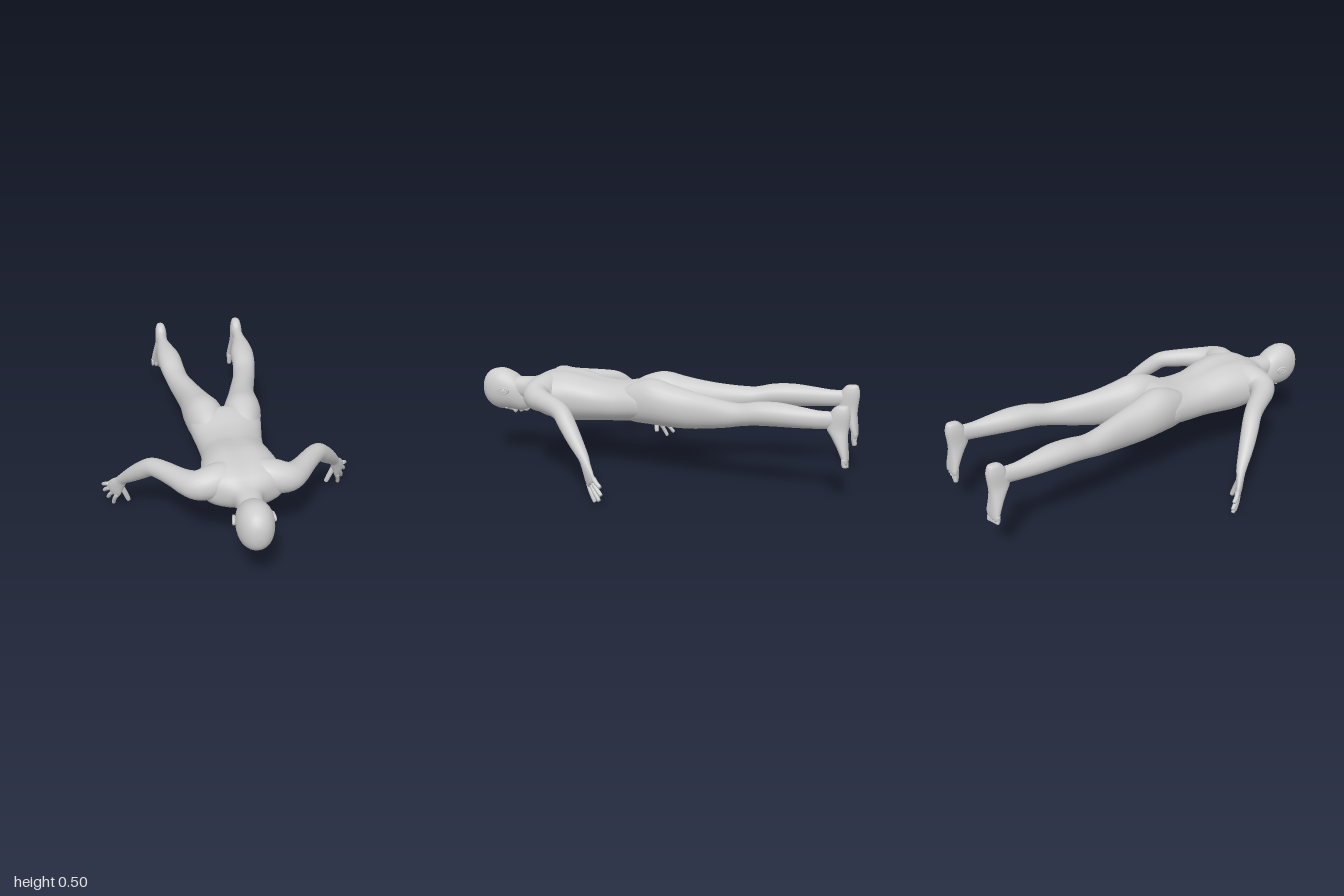
import * as THREE from 'three';

const skin = new THREE.MeshStandardMaterial({ color: 0xcccccc });
skin.name = 'light grey skin';
const X = new THREE.Vector3(1, 0, 0), Y = new THREE.Vector3(0, 1, 0), Z = new THREE.Vector3(0, 0, 1);

// Smooth closed skin through stations [x, y, z, radiusA, radiusB].
// A is the ring's width axis; B its height axis, or across the path when omitted.
function loft(stations, A, B, { sides = 24, steps = 3, power = 2, side = 1, shape } = {}) {
  const path = new THREE.CatmullRomCurve3(stations.map(s => new THREE.Vector3(s[0], s[1], s[2])), false, 'catmullrom');
  const size = new THREE.CatmullRomCurve3(stations.map(s => new THREE.Vector3(s[3], s[4] ?? s[3], 0)), false, 'catmullrom');
  const rows = (stations.length - 1) * steps, pos = [], index = [];
  const put = p => pos.push(p.x * side, p.y, p.z);
  for (let i = 0; i <= rows; i++) {
    const c = path.getPoint(i / rows), r = size.getPoint(i / rows);
    let a = A.clone(), b = B;
    if (!b) {
      const t = path.getTangent(i / rows);
      a.addScaledVector(t, -a.dot(t)).normalize();
      b = t.clone().cross(a);
    }
    for (let j = 0; j < sides; j++) {
      const q = j / sides * Math.PI * 2, u = Math.cos(q), v = Math.sin(q);
      const p = c.clone()
        .addScaledVector(a, Math.sign(u) * Math.abs(u) ** (2 / power) * r.x)
        .addScaledVector(b, Math.sign(v) * Math.abs(v) ** (2 / power) * r.y);
      if (shape) shape(p, v);
      put(p);
    }
  }
  for (let i = 0; i < rows; i++) for (let j = 0; j < sides; j++) {
    const k = (j + 1) % sides, m = i * sides, n = m + sides;
    index.push(m + j, m + k, n + j, m + k, n + k, n + j);
  }
  // End caps
  const first = pos.length / 3;
  put(path.getPoint(0));
  put(path.getPoint(1));
  for (let j = 0; j < sides; j++) {
    const k = (j + 1) % sides, n = rows * sides;
    index.push(first, k, j, first + 1, n + j, n + k);
  }
  // Turn the faces outward if the enclosed volume is negative
  const at = i => new THREE.Vector3().fromArray(pos, i * 3);
  let volume = 0;
  for (let i = 0; i < index.length; i += 3) volume += at(index[i]).dot(at(index[i + 1]).cross(at(index[i + 2])));
  if (volume < 0) index.reverse();
  const g = new THREE.BufferGeometry();
  g.setAttribute('position', new THREE.Float32BufferAttribute(pos, 3));
  g.setIndex(index);
  g.computeVertexNormals();
  return g;
}

function add(group, name, geometry) {
  const m = new THREE.Mesh(geometry, skin);
  m.name = name;
  group.add(m);
  return m;
}

function ball(group, name, x, y, z, sx, sy, sz) {
  const m = add(group, name, new THREE.SphereGeometry(1, 16, 12));
  m.position.set(x, y, z);
  m.scale.set(sx, sy, sz);
  return m;
}

// Finger or toe: thin tube with a rounded tip
function digit(points, r, side) {
  const last = points.at(-1), prev = points.at(-2);
  const end = last.map((v, i) => v + (v - prev[i]) * 0.08);
  const s = [...points.map((p, i) => [...p, r * (1 - 0.12 * i)]), [...end, r * 0.3]];
  return loft(s, X, null, { sides: 10, side });
}

// [z, half width, bottom, top] to a station on the centre line
const centred = ([z, w, lo, hi]) => [0, (lo + hi) / 2, z, w, (hi - lo) / 2];

function addLeg(group, side) {
  // z, inner x, outer x, bottom, top
  const leg = [
    [0.2, 0.045, 0.12, 0.31, 0.425], [0.15, 0.025, 0.148, 0.285, 0.452], [0.1, 0.008, 0.17, 0.272, 0.478],
    [0.03, 0, 0.19, 0.27, 0.5],
    [-0.03, 0.003, 0.198, 0.268, 0.498], [-0.1, 0.022, 0.2, 0.266, 0.48], [-0.2, 0.055, 0.2, 0.27, 0.46],
    [-0.3, 0.085, 0.215, 0.285, 0.444], [-0.4, 0.115, 0.237, 0.305, 0.433], [-0.47, 0.13, 0.25, 0.322, 0.432],
    [-0.55, 0.14, 0.265, 0.335, 0.449], [-0.65, 0.147, 0.272, 0.34, 0.455], [-0.75, 0.17, 0.267, 0.343, 0.446],
    [-0.85, 0.193, 0.256, 0.348, 0.435], [-0.93, 0.195, 0.256, 0.355, 0.437],
  ].map(([z, i, o, lo, hi]) => [(i + o) / 2, (lo + hi) / 2, z, (o - i) / 2, (hi - lo) / 2]);
  add(group, 'leg', loft(leg, X, Y, { side, power: 2.1 }));
  // y, inner x, outer x, instep z, sole z
  const foot = [
    [0.467, 0.215, 0.236, -0.945, -0.975], [0.458, 0.202, 0.248, -0.92, -0.987], [0.42, 0.193, 0.257, -0.895, -0.995],
    [0.36, 0.191, 0.259, -0.885, -0.99], [0.32, 0.187, 0.267, -0.908, -0.988], [0.27, 0.18, 0.278, -0.938, -0.992],
    [0.225, 0.175, 0.285, -0.96, -0.997], [0.203, 0.177, 0.283, -0.97, -0.997], [0.193, 0.183, 0.276, -0.978, -0.992],
  ].map(([y, i, o, f, b]) => [(i + o) / 2, y, (f + b) / 2, (o - i) / 2, (f - b) / 2]);
  add(group, 'foot', loft(foot, X, Z, { side, power: 2.4, sides: 20 }));
  for (let i = 0; i < 5; i++) {
    const x = 0.192 + i * 0.02 + (i ? 0.004 : 0), tip = 0.162 + i * 0.006;
    add(group, 'toe', digit([[x, 0.225, -0.978], [x, 0.2, -0.978], [x, tip, -0.984]], i ? 0.0115 : 0.016, side));
  }
}

function addArm(group, side) {
  const spread = new THREE.Vector3(0.55, 0.61, -0.57);
  // Shoulder, arm and flattened palm in one skin
  add(group, 'arm', loft([
    [0.02, 0.425, 0.55, 0.05], [0.07, 0.417, 0.568, 0.074], [0.13, 0.41, 0.588, 0.08], [0.2, 0.4, 0.598, 0.072],
    [0.25, 0.394, 0.568, 0.062],
    [0.3, 0.392, 0.51, 0.052], [0.355, 0.385, 0.435, 0.047], [0.402, 0.372, 0.378, 0.044],
    [0.44, 0.333, 0.335, 0.043], [0.49, 0.27, 0.275, 0.037], [0.537, 0.203, 0.213, 0.027, 0.026],
    [0.552, 0.173, 0.196, 0.031, 0.021], [0.568, 0.145, 0.18, 0.04, 0.018],
    [0.583, 0.115, 0.164, 0.046, 0.015], [0.594, 0.09, 0.15, 0.042, 0.011],
  ], spread, null, { side, sides: 20 }));
  const tips = [[0.592, 0.008, 0.137], [0.617, 0.025, 0.106], [0.634, 0.058, 0.09], [0.637, 0.097, 0.092]];
  tips.forEach((tip, i) => {
    const o = (i - 1.5) * 0.023;
    const base = [0.588 + spread.x * o, 0.106 + spread.y * o, 0.156 + spread.z * o];
    const mid = base.map((v, k) => (v + tip[k]) / 2 + (k === 0 ? 0.005 : 0));
    add(group, 'finger', digit([base, mid, tip], 0.0122, side));
  });
  add(group, 'thumb', digit([[0.556, 0.155, 0.188], [0.533, 0.1, 0.185], [0.517, 0.05, 0.178]], 0.015, side));
}

export function createModel() {
  const model = new THREE.Group();
  model.name = 'prone figure';

  // Neck and torso in one skin, with a spine groove
  const torso = [
    [0.86, 0.055, 0.33, 0.44], [0.8, 0.058, 0.326, 0.445], [0.75, 0.062, 0.326, 0.447],
    [0.71, 0.074, 0.322, 0.45], [0.68, 0.118, 0.308, 0.46], [0.65, 0.172, 0.29, 0.476],
    [0.6, 0.2, 0.262, 0.493], [0.53, 0.195, 0.243, 0.502], [0.46, 0.182, 0.237, 0.502], [0.38, 0.168, 0.243, 0.484],
    [0.3, 0.156, 0.25, 0.463], [0.2, 0.162, 0.256, 0.457], [0.12, 0.175, 0.264, 0.47], [0.05, 0.18, 0.268, 0.474],
    [0, 0.13, 0.268, 0.44], [-0.04, 0.03, 0.285, 0.40],
  ].map(centred);
  const groove = (p, v) => {
    if (v > 0) p.y -= 0.016 * v * Math.exp(-((p.x / 0.035) ** 2)) * Math.exp(-(((p.z - 0.48) / 0.17) ** 2));
  };
  add(model, 'torso', loft(torso, X, Y, { sides: 40, power: 2.25, shape: groove }));

  // Head, face downward
  const head = new THREE.Group();
  head.name = 'head';
  model.add(head);
  add(head, 'skull', loft([
    [0.999, 0.008, 0.365, 0.385], [0.991, 0.035, 0.325, 0.428], [0.965, 0.063, 0.291, 0.465],
    [0.925, 0.08, 0.268, 0.483], [0.885, 0.085, 0.262, 0.486], [0.84, 0.081, 0.264, 0.473], [0.8, 0.073, 0.26, 0.45],
    [0.77, 0.06, 0.258, 0.42], [0.745, 0.044, 0.268, 0.38], [0.734, 0.022, 0.288, 0.345],
  ].map(centred), X, Y, { power: 2.15, sides: 28 }));
  ball(head, 'nose', 0, 0.26, 0.823, 0.014, 0.02, 0.014);
  ball(head, 'noseBridge', 0, 0.265, 0.845, 0.009, 0.012, 0.028);
  ball(head, 'lips', 0, 0.261, 0.785, 0.025, 0.012, 0.011);
  ball(head, 'chin', 0, 0.27, 0.756, 0.026, 0.015, 0.016);

  for (const side of [1, -1]) {
    const limbs = new THREE.Group();
    limbs.name = side > 0 ? 'leftLimbs' : 'rightLimbs';
    model.add(limbs);
    addArm(limbs, side);
    addLeg(limbs, side);
    ball(head, 'eye', side * 0.032, 0.275, 0.858, 0.014, 0.009, 0.009);
    const ear = ball(head, 'ear', side * 0.086, 0.377, 0.848, 0.009, 0.018, 0.03);
    ear.rotation.y = side * 0.15;
    const rim = add(head, 'earRim', new THREE.TorusGeometry(0.018, 0.005, 8, 20));
    rim.position.set(side * 0.09, 0.378, 0.848);
    rim.rotation.y = Math.PI / 2 + side * 0.15;
    rim.scale.set(1.35, 0.85, 1);
  }
  return model;
}
